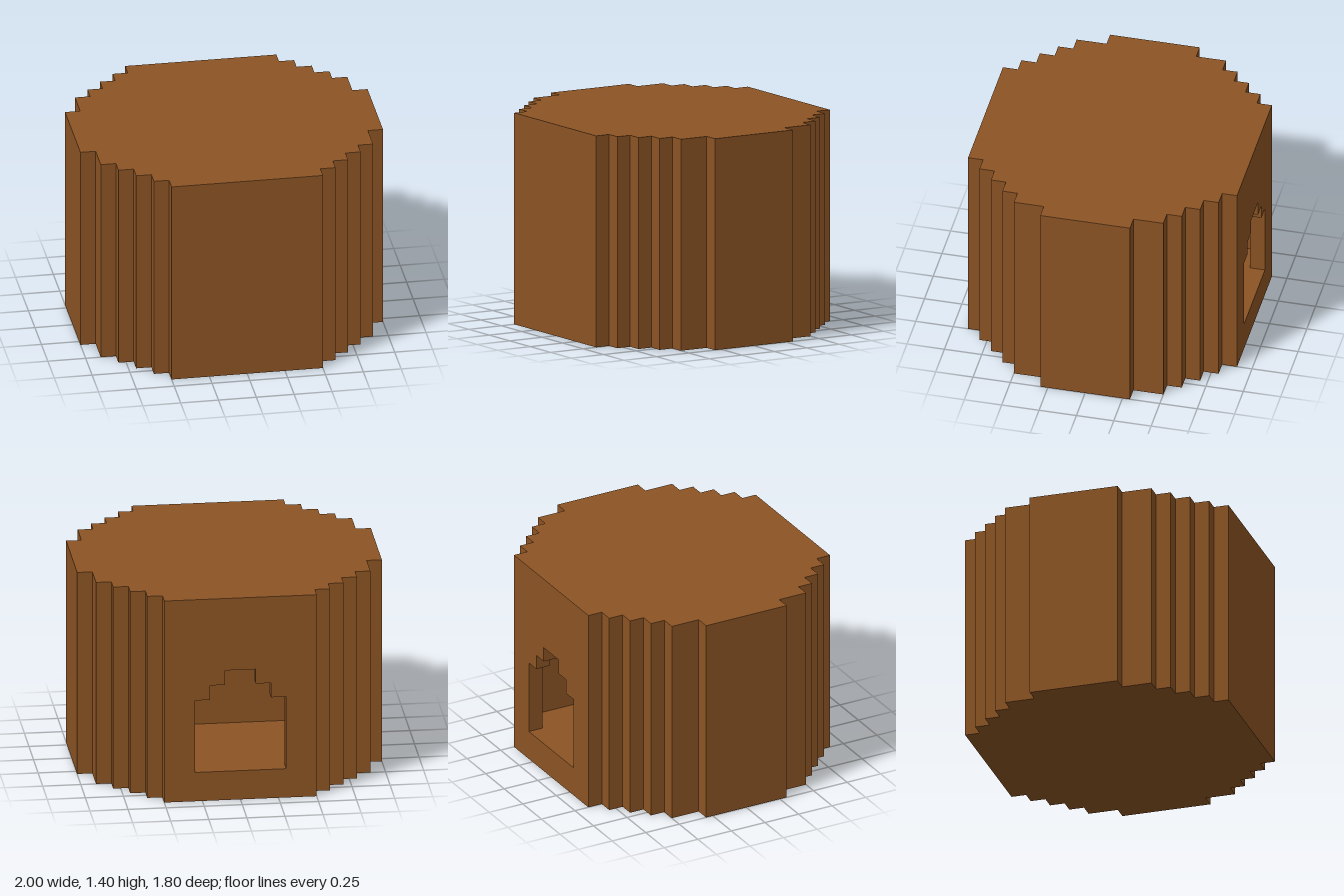
import * as THREE from 'three';

const HEIGHT = 1.4;

// Stepped outline of the hut as [x, z] for the front-left quarter, front to side
const QUARTER = [
  [0.5, 0.9], [0.5, 0.8], [0.6, 0.8], [0.6, 0.7], [0.7, 0.7], [0.7, 0.6],
  [0.8, 0.6], [0.8, 0.5], [0.9, 0.5], [0.9, 0.3], [1, 0.3],
];

const toVectors = (pts) => pts.map(([x, y]) => new THREE.Vector2(x, y));

// Outer body: stepped prism, open where the door wall closes it
function bodyGeometry() {
  const back = QUARTER.slice(1).reverse().map(([x, z]) => [x, -z]);
  const half = [...QUARTER, ...back];
  const mirrored = half.map(([x, z]) => [-x, z]).reverse();
  const outline = [...half, ...mirrored].map(([x, z]) => [x, -z]);
  const solid = new THREE.ExtrudeGeometry(new THREE.Shape(toVectors(outline)), {
    depth: HEIGHT, bevelEnabled: false,
  }).rotateX(-Math.PI / 2);

  // Drop the triangles lying in the opening behind the door wall
  const p = solid.attributes.position;
  const kept = [];
  for (let i = 0; i < p.count; i += 3) {
    const tri = [i, i + 1, i + 2];
    const inOpening = tri.every((k) => Math.abs(p.getZ(k) + 0.8) < 1e-4 && Math.abs(p.getX(k)) < 0.501);
    if (!inOpening) tri.forEach((k) => kept.push(p.getX(k), p.getY(k), p.getZ(k)));
  }
  const geometry = new THREE.BufferGeometry();
  geometry.setAttribute('position', new THREE.Float32BufferAttribute(kept, 3));
  geometry.computeVertexNormals();
  return geometry;
}

// Back wall with a stepped doorway
function doorWallGeometry() {
  const wall = new THREE.Shape(toVectors([[-0.5, 0], [0.5, 0], [0.5, HEIGHT], [-0.5, HEIGHT]]));
  const side = [[0.3, 0.2], [0.3, 0.7], [0.2, 0.7], [0.2, 0.8], [0.1, 0.8], [0.1, 0.9]];
  const doorway = [...side, ...side.map(([x, y]) => [-x, y]).reverse()];
  wall.holes.push(new THREE.Path(toVectors(doorway)));
  return new THREE.ExtrudeGeometry(wall, { depth: 0.1, bevelEnabled: false }).translate(0, 0, -0.9);
}

// Inside-out box without its door side
function roomGeometry() {
  const box = new THREE.BoxGeometry(1, 0.8, 0.8);
  box.setIndex(Array.from(box.index.array).slice(0, 30));
  box.clearGroups();
  box.scale(-1, 1, 1);
  const room = box.toNonIndexed();
  room.computeVertexNormals();
  return room.translate(0, 0.6, -0.4);
}

export function createModel() {
  const model = new THREE.Group();
  model.name = 'hut';
  const brown = new THREE.MeshStandardMaterial({ color: 0x8c5424 });
  brown.name = 'brown';

  const parts = { body: bodyGeometry(), doorWall: doorWallGeometry(), room: roomGeometry() };
  for (const [name, geometry] of Object.entries(parts)) {
    const mesh = new THREE.Mesh(geometry, brown);
    mesh.name = name;
    model.add(mesh);
  }
  return model;
}
